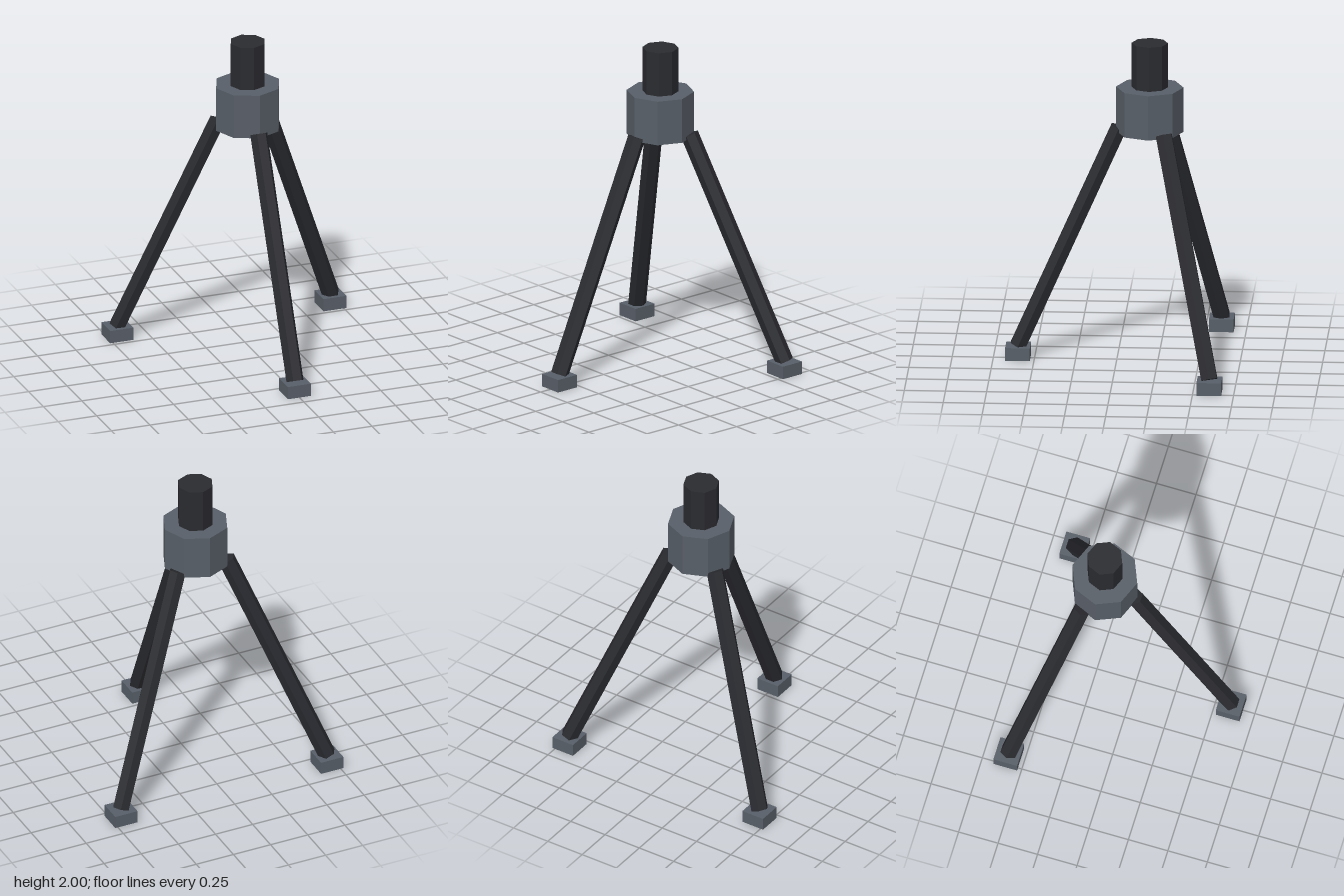
import * as THREE from 'three';

const dark = new THREE.MeshStandardMaterial({ color: 0x2a2b30, flatShading: true });
const grey = new THREE.MeshStandardMaterial({ color: 0x585f68, flatShading: true });

function addPart(parent, name, geometry, material, x, y, z) {
  const mesh = new THREE.Mesh(geometry, material);
  mesh.name = name;
  mesh.position.set(x, y, z);
  parent.add(mesh);
  return mesh;
}

export function createModel() {
  const model = new THREE.Group();
  model.name = 'tripod';

  // everything is arranged around a vertical axis slightly behind the origin
  const axis = new THREE.Group();
  axis.name = 'tripodBody';
  axis.position.z = -0.2;
  model.add(axis);

  // octagonal hub and the post standing on it
  addPart(axis, 'hub', new THREE.CylinderGeometry(0.205, 0.205, 0.28, 8), grey, 0, 1.582, 0);
  addPart(axis, 'post', new THREE.CylinderGeometry(0.11, 0.11, 0.28, 8), dark, 0, 1.86, 0);

  // three splayed hexagonal legs, each with a square foot aligned to the axes
  const top = new THREE.Vector3(0, 1.465, 0.188);
  const bottom = new THREE.Vector3(0, 0.08, 0.8);
  const span = top.clone().sub(bottom);
  const middle = top.clone().add(bottom).multiplyScalar(0.5);
  const legGeometry = new THREE.CylinderGeometry(0.055, 0.055, span.length(), 6, 1, false, Math.PI / 6);
  const footGeometry = new THREE.BoxGeometry(0.15, 0.08, 0.15);

  ['front', 'backLeft', 'backRight'].forEach((side, i) => {
    const angle = (i * Math.PI * 2) / 3;
    const pivot = new THREE.Group();
    pivot.name = side + 'LegPivot';
    pivot.rotation.y = angle;
    axis.add(pivot);
    const leg = addPart(pivot, side + 'Leg', legGeometry, dark, 0, middle.y, middle.z);
    leg.quaternion.setFromUnitVectors(new THREE.Vector3(0, 1, 0), span.clone().normalize());
    addPart(axis, side + 'Foot', footGeometry, grey, 0.8 * Math.sin(angle), 0.04, 0.8 * Math.cos(angle));
  });

  return model;
}
